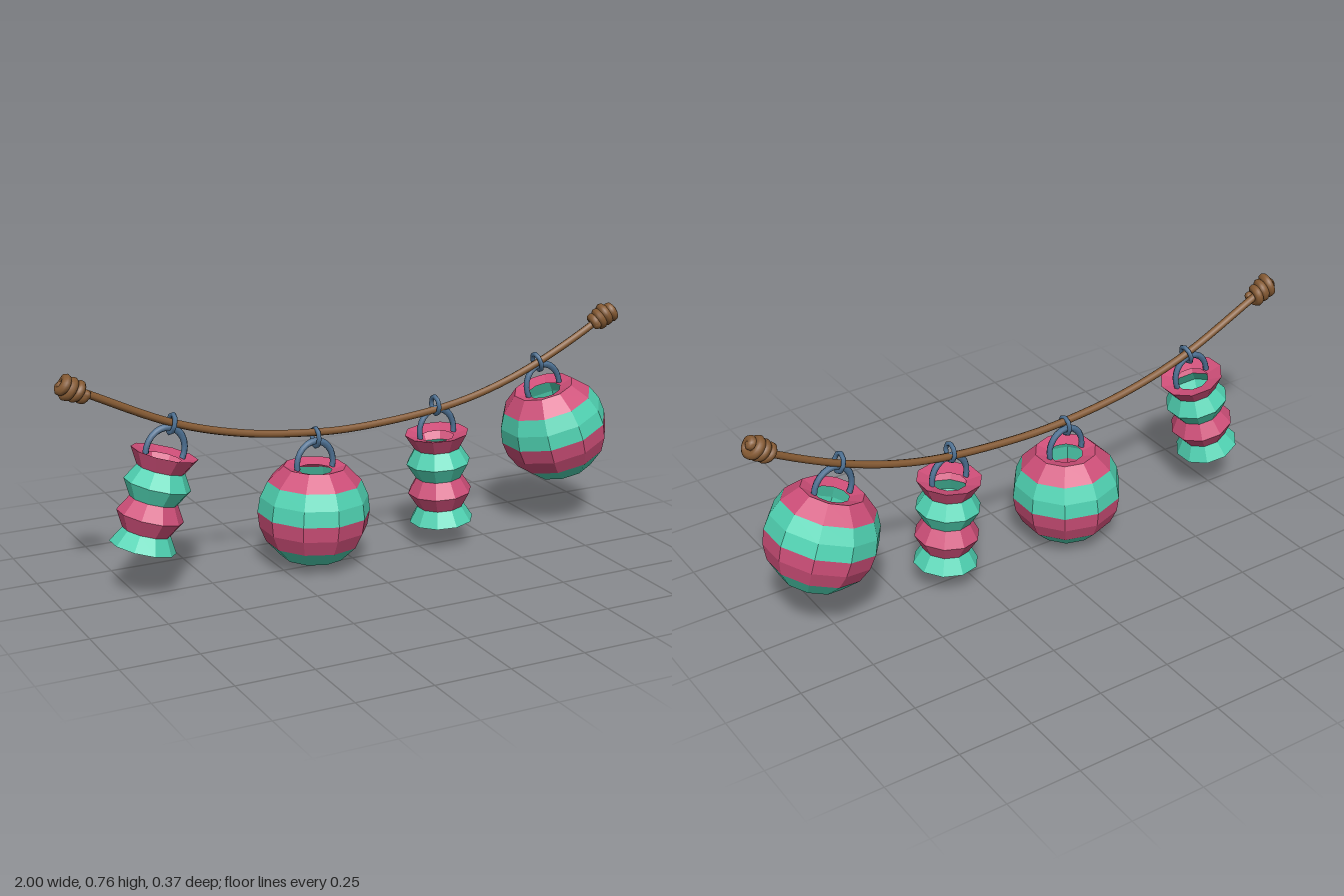
import * as THREE from 'three';

const material = (name, color, extra = {}) =>
  Object.assign(new THREE.MeshStandardMaterial({ color, ...extra }), { name });

export function createModel() {
  const pink = material('pink paper', 0xcf4f79, { side: THREE.DoubleSide });
  const teal = material('teal paper', 0x50d3b3, { side: THREE.DoubleSide });
  const brown = material('rope brown', 0x855a33, { side: THREE.DoubleSide });
  const steel = material('blue metal', 0x4f7396);

  const root = new THREE.Group();
  root.name = 'lanternGarland';
  const add = (parent, name, geometry, mat) => {
    const mesh = new THREE.Mesh(geometry, mat);
    mesh.name = name;
    parent.add(mesh);
    return mesh;
  };

  // Sagging rope
  const ropeCurve = new THREE.CatmullRomCurve3([
    [-0.96, 0.71], [-0.9, 0.683], [-0.615, 0.55], [-0.38, 0.485], [-0.144, 0.455], [0.02, 0.45],
    [0.315, 0.473], [0.5, 0.512], [0.69, 0.58], [0.91, 0.69], [0.965, 0.727],
  ].map(([x, y]) => new THREE.Vector3(x, y, 0)));
  add(root, 'rope', new THREE.TubeGeometry(ropeCurve, 60, 0.0125, 8), brown);

  // End knots: a coil wound round the rope that curls in at its tip
  const knot = (name, from, to) => {
    const start = new THREE.Vector3(...from, 0);
    const axis = new THREE.Vector3(...to, 0).sub(start);
    const side = new THREE.Vector3(0, 0, 1);
    const up = side.clone().cross(axis).normalize();
    const points = [];
    for (let i = 0; i <= 48; i++) {
      const t = i / 48;
      const angle = t * Math.PI * 2 * 3.6;
      const r = t < 0.8 ? 0.019 + 0.009 * t : 0.026 * (1 - t) / 0.2;
      points.push(start.clone().addScaledVector(axis, Math.min(1, t * 1.15))
        .addScaledVector(side, Math.cos(angle) * r + 0.01 * t)
        .addScaledVector(up, Math.sin(angle) * r));
    }
    const group = new THREE.Group();
    group.name = name;
    add(group, 'knotCoil', new THREE.TubeGeometry(new THREE.CatmullRomCurve3(points), 110, 0.0155, 8), brown);
    for (const p of [points[0], points[48]]) {
      add(group, 'knotTip', new THREE.SphereGeometry(0.016, 8, 6), brown).position.copy(p);
    }
    root.add(group);
  };
  knot('rightKnot', [-0.9, 0.682], [-0.975, 0.716]);
  knot('leftKnot', [0.92, 0.695], [0.976, 0.738]);

  // Lantern shells: six equal-height steps, ten sides
  const STEP = 0.051, HALF = STEP * 3;
  const round = (i) => Math.sqrt(0.184 ** 2 - (i * STEP - HALF) ** 2);
  const pleated = (i) => (i % 2 ? 0.077 : 0.107);
  const facetedLathe = (profile) => {
    const g = new THREE.LatheGeometry(profile.map(([r, y]) => new THREE.Vector2(r, y)), 10).toNonIndexed();
    g.computeVertexNormals();
    return g;
  };

  const lantern = (name, radiusAt, tip, x, y, tilt) => {
    const group = new THREE.Group();
    group.name = name;
    const ring = (i) => [radiusAt(i), i * STEP - HALF];
    add(group, 'base', facetedLathe([[0, -HALF - tip], ring(0)]), brown);
    add(group, 'lowerTealBand', facetedLathe([ring(0), ring(1)]), teal);
    add(group, 'lowerPinkBand', facetedLathe([ring(1), ring(2), ring(3)]), pink);
    add(group, 'upperTealBand', facetedLathe([ring(3), ring(4), ring(5)]), teal);
    add(group, 'topPinkBand', facetedLathe([ring(5), ring(6), [0.056, HALF - 0.014]]), pink);

    // Arched handle standing on the rim of the opening
    const handle = add(group, 'handle',
      new THREE.TorusGeometry(0.064, 0.0105, 6, 14, Math.PI * 1.16), steel);
    handle.geometry.rotateZ(-Math.PI * 0.08);
    handle.scale.y = 1.15;
    handle.position.y = HALF + 0.008;

    // Small link joining handle and rope
    const link = add(group, 'link', new THREE.TorusGeometry(0.027, 0.0075, 6, 8), steel);
    link.rotation.y = Math.PI / 2;
    link.scale.y = 1.1;
    link.position.y = HALF + 0.094;

    group.position.set(x, y, 0);
    group.rotation.z = tilt;
    root.add(group);
  };
  lantern('pleatedLanternRight', pleated, 0.02, -0.69, 0.312, -0.27);
  lantern('roundLanternMiddle', round, 0.035, -0.14, 0.19, -0.03);
  lantern('pleatedLanternMiddle', pleated, 0.02, 0.323, 0.24, 0.07);
  lantern('roundLanternLeft', round, 0.035, 0.77, 0.35, 0.3);

  return root;
}
